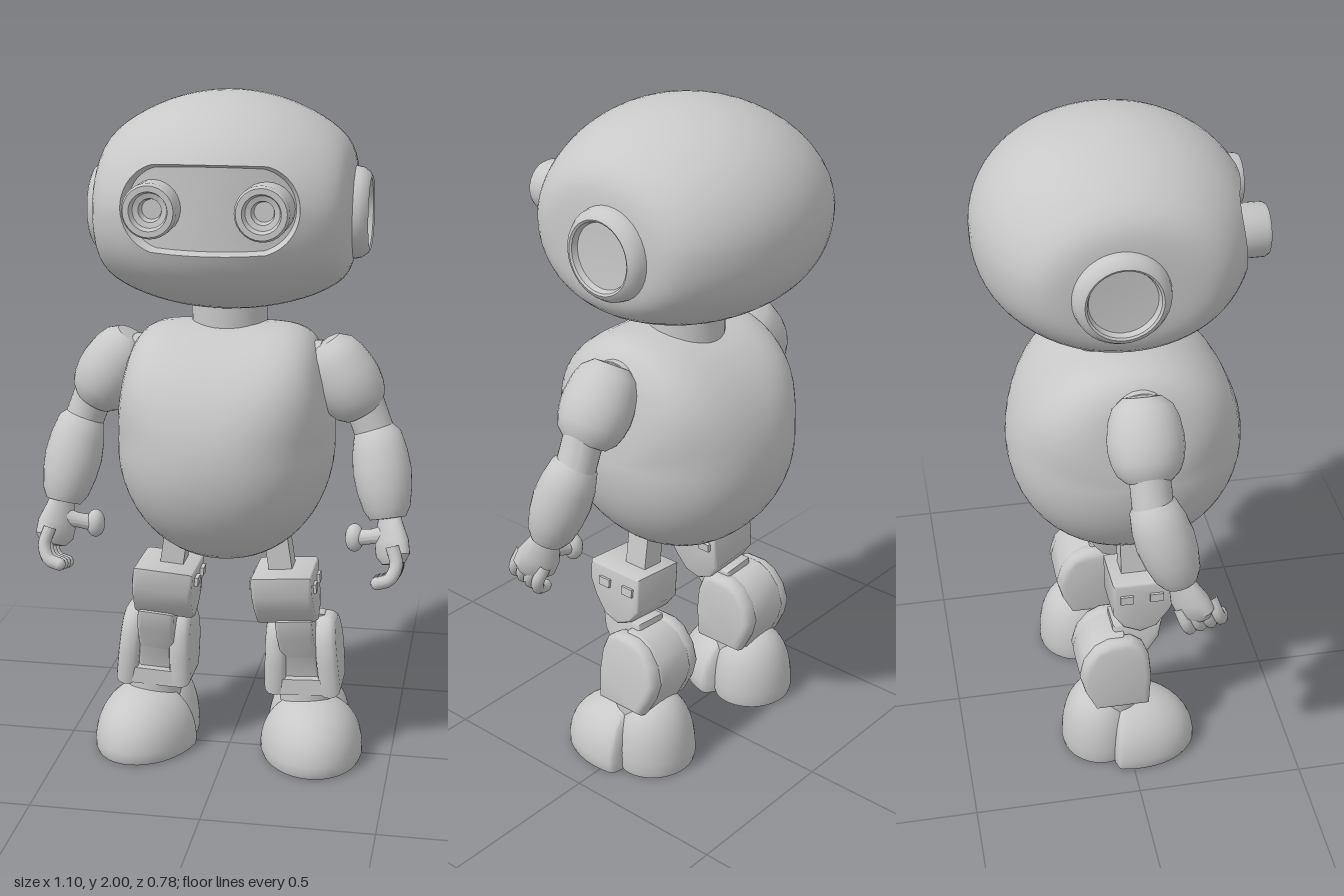
import * as THREE from 'three';
import { toCreasedNormals } from 'three/addons/utils/BufferGeometryUtils.js';

const V = (x, y, z) => new THREE.Vector3(x, y, z);
const clamp = THREE.MathUtils.clamp;

export function createModel() {
  const root = new THREE.Group();
  const grey = new THREE.MeshStandardMaterial({ color: 0xc8c8c8 });
  grey.name = 'body grey';

  function add(name, geo, crease = 0.6) {
    const mesh = new THREE.Mesh(crease ? toCreasedNormals(geo, crease) : geo, grey);
    mesh.name = name;
    root.add(mesh);
    return mesh;
  }

  // Skin a list of equal-length rings of points
  function loft(rings) {
    const n = rings[0].length, pos = [], idx = [];
    rings.forEach(r => r.forEach(p => pos.push(p.x, p.y, p.z)));
    for (let i = 0; i < rings.length - 1; i++) for (let j = 0; j < n; j++) {
      const a = i * n + j, b = i * n + (j + 1) % n, c = a + n, d = b + n;
      idx.push(a, c, d, a, d, b);
    }
    const g = new THREE.BufferGeometry();
    g.setAttribute('position', new THREE.Float32BufferAttribute(pos, 3));
    g.setIndex(idx);
    return g;
  }

  // Turned part along a to b; profile entries are [radius, fraction of length]
  function turned(name, a, b, profile, sx = 1, sz = 1, seg = 28) {
    const dir = b.clone().sub(a), len = dir.length();
    const g = new THREE.LatheGeometry(profile.map(([r, t]) => new THREE.Vector2(r, t * len)), seg);
    g.scale(sx, 1, sz);
    g.applyQuaternion(new THREE.Quaternion().setFromUnitVectors(V(0, 1, 0), dir.normalize()));
    g.translate(a.x, a.y, a.z);
    return add(name, g);
  }

  // Side profile of [z, y] points extruded along x, tilted about its own middle
  function slab(name, pts, cx, width, tilt, yMid, bevel = 0.012) {
    const shape = new THREE.Shape(pts.map(([z, y]) => new THREE.Vector2(-z, y)));
    const g = new THREE.ExtrudeGeometry(shape, {
      depth: width - 2 * bevel, bevelThickness: bevel, bevelSize: bevel * 0.7, bevelOffset: -bevel * 0.7, bevelSegments: 3
    });
    g.translate(0, -yMid, -width / 2 + bevel).rotateY(Math.PI / 2).rotateZ(tilt).translate(cx, yMid, 0);
    return add(name, g, 0.7);
  }

  const box = (name, w, h, d, x, y, z, tilt = 0) =>
    add(name, new THREE.BoxGeometry(w, h, d).rotateZ(tilt).translate(x, y, z), 0);

  const angles = n => Array.from({ length: n }, (_, j) => j / n * Math.PI * 2);

  // Head: ball with flattened sides and a full jaw; front rings narrow to a sunken visor slot
  const headY = 1.695, ry = 0.307;
  const halfWidth = y => 0.45 - 0.06 * Math.max(0, y / ry);
  const bulk = y => (y > 0 ? 2 : 2.4);
  const flatten = x => x / Math.pow(1 + Math.pow(Math.abs(x) / 0.362, 14), 1 / 14);
  const slot = a => [0.125 * clamp(Math.cos(a) * 4, -1, 1) + 0.12 * Math.cos(a), 0.015 + 0.12 * Math.sin(a)];
  const outline = (a, k) => {
    const v = Math.sin(a) * k, y = Math.sign(v) * ry * Math.pow(Math.abs(v), 2 / bulk(v));
    return [halfWidth(y) * Math.cos(a) * k, y];
  };
  const depth = (x, y) =>
    Math.sqrt(Math.max(0, 1 - (x / halfWidth(y)) ** 2 - Math.pow(Math.abs(y) / ry, bulk(y))));
  const headRings = [];
  for (const k of [0, 0.35, 0.7, 0.94]) {
    headRings.push(angles(72).map(a => {
      const [x, y] = slot(a);
      return V(x * k, headY + 0.015 + (y - 0.015) * k, 0.33 * depth(x * k, 0));
    }));
  }
  for (let i = 0; i <= 14; i++) {
    const t = Math.sin(i / 14 * Math.PI / 2);
    headRings.push(angles(72).map(a => {
      const [sx, sy] = slot(a), [ex, ey] = outline(a, 1);
      const x = sx + (ex - sx) * t, y = sy + (ey - sy) * t;
      return V(flatten(x), headY + y, 0.385 * depth(x, y));
    }));
  }
  for (let i = 1; i <= 16; i++) {
    const u = i / 16 * Math.PI / 2;
    headRings.push(angles(72).map(a => {
      const [x, y] = outline(a, Math.cos(u));
      return V(flatten(x), headY + y, -0.388 * Math.sin(u));
    }));
  }
  add('head', loft(headRings));

  turned('neck', V(0, 1.3, 0), V(0, 1.43, 0), [[0.11, 0], [0.11, 1]]);

  // Torso: round from the side, square at the shoulders, tapering to the bottom
  const torsoRings = [];
  for (let i = 0; i <= 32; i++) {
    const u = Math.cos(i / 32 * Math.PI);
    torsoRings.push(angles(48).map(a => {
      const c = Math.cos(a);
      const p = 2.25 + (c > 0 ? 3.5 : -0.2) * c * c;
      const r = 0.354 * Math.pow(Math.max(0, 1 - Math.pow(Math.abs(u), p)), 1 / p);
      const y = r * c;
      return V(0.315 * u * (1 - 0.35 * Math.max(0, y)), 0.995 + y, 0.035 + r * Math.sin(a) * 0.98);
    }));
  }
  add('torso', loft(torsoRings), 0.8);

  // Dome with flat sole at local x, z of a foot turned about its ankle
  function dome(name, footX, turn, z, w, h, front, back, bulge) {
    const pts = [new THREE.Vector2(0, 0), new THREE.Vector2(0.97, 0)];
    for (let i = 0; i <= 14; i++) {
      const a = i / 14 * Math.PI / 2;
      pts.push(new THREE.Vector2(Math.pow(Math.cos(a), 2 / bulge), 0.07 + 0.93 * Math.pow(Math.sin(a), 2 / bulge)));
    }
    pts[pts.length - 1].x = 0;
    const g = new THREE.LatheGeometry(pts, 40), p = g.attributes.position;
    for (let i = 0; i < p.count; i++) {
      const q = p.getZ(i);
      p.setXYZ(i, p.getX(i) * w, p.getY(i) * h, z + q * (q > 0 ? front : back));
    }
    add(name, g.rotateY(turn).translate(footX, 0, 0));
  }

  const thigh = [[0.155, 0.61], [-0.04, 0.61], [-0.04, 0.5], [-0.01, 0.457], [0.04, 0.435], [0.09, 0.45], [0.13, 0.5], [0.155, 0.55]];
  const shin = [[0.06, 0.2], [0.068, 0.3], [0.062, 0.37], [0.045, 0.415], [0.01, 0.44], [-0.06, 0.44], [-0.1, 0.42],
    [-0.135, 0.375], [-0.15, 0.315], [-0.135, 0.26], [-0.105, 0.2]];
  const shinBack = [[-0.02, 0.2], [-0.02, 0.41], [-0.01, 0.44], ...shin.slice(5)];
  const strut = [[0.11, 0.46], [0.1, 0.4], [0.045, 0.32], [0.03, 0.25], [-0.04, 0.25], [-0.04, 0.46]];

  for (const s of [1, -1]) {
    const side = s > 0 ? 'left' : 'right';

    // Eyes and ear discs
    turned(side + 'Eye', V(s * 0.152, 1.71, 0.25), V(s * 0.152, 1.71, 0.395),
      [[0.075, 0], [0.075, 0.92], [0.069, 1], [0.053, 1], [0.047, 0.85], [0.032, 0.82], [0.027, 0.65], [0, 0.65]]);
    turned(side + 'Ear', V(s * 0.32, 1.66, -0.035), V(s * 0.402, 1.66, -0.035),
      [[0.13, 0], [0.132, 0.45], [0.128, 0.7], [0.116, 0.92], [0.104, 1], [0.098, 0.95], [0.092, 0.75], [0, 0.7]], 1, 1, 36);

    // Arm
    turned(side + 'ShoulderSocket', V(s * 0.2, 1.21, 0.035), V(s * 0.288, 1.21, 0.035),
      [[0.09, 0], [0.09, 0.85], [0.08, 1], [0, 1]]);
    turned(side + 'UpperArm', V(s * 0.285, 1.285, 0.035), V(s * 0.4, 1.095, 0.035),
      [[0, -0.07], [0.05, -0.05], [0.078, 0.06], [0.092, 0.22], [0.1, 0.45], [0.1, 0.6], [0.094, 0.76],
        [0.082, 0.9], [0.06, 1], [0, 1.04]], 1, 1.08);
    turned(side + 'Elbow', V(s * 0.4, 1.12, 0.035), V(s * 0.445, 1.0, 0.04), [[0.058, 0], [0.058, 1]]);
    turned(side + 'Forearm', V(s * 0.435, 1.06, 0.03), V(s * 0.482, 0.8, 0.11),
      [[0, 0], [0.045, 0.01], [0.068, 0.1], [0.08, 0.3], [0.085, 0.5], [0.08, 0.7], [0.068, 0.9], [0.052, 1], [0, 1.01]]);
    turned(side + 'Palm', V(s * 0.482, 0.83, 0.1), V(s * 0.505, 0.68, 0.16),
      [[0, 0], [0.035, 0.02], [0.045, 0.3], [0.06, 0.6], [0.06, 0.85], [0.04, 1], [0, 1.03]], 0.65, 1.05);

    // Four curled fingers and a thumb with a round tip
    for (let i = 0; i < 4; i++) {
      const z = 0.105 + i * 0.03, up = i * 0.008;
      const end = V(s * 0.465, 0.622 + up, z + 0.042);
      const path = new THREE.CatmullRomCurve3([V(s * 0.502, 0.72 + up, z), V(s * 0.516, 0.67 + up, z + 0.018),
        V(s * 0.498, 0.632 + up, z + 0.035), end]);
      add(side + 'Finger' + (i + 1), new THREE.TubeGeometry(path, 10, 0.019, 10), 0);
      add(side + 'Fingertip' + (i + 1), new THREE.SphereGeometry(0.019, 10, 8).translate(end.x, end.y, end.z), 0);
    }
    turned(side + 'Thumb', V(s * 0.49, 0.755, 0.125), V(s * 0.39, 0.735, 0.11), [[0.032, 0], [0.022, 0.5], [0.024, 1]]);
    add(side + 'ThumbTip', new THREE.SphereGeometry(1, 16, 12).scale(0.028, 0.042, 0.033)
      .translate(s * 0.386, 0.735, 0.108), 0);

    // Leg
    box(side + 'HipPost', 0.07, 0.2, 0.075, s * 0.155, 0.67, 0.033, s * 0.15);
    slab(side + 'Thigh', thigh, s * 0.182, 0.18, s * 0.08, 0.52);
    for (const z of [0.09, 0]) for (const e of [-1, 1])
      box(side + 'ThighBolt', 0.02, 0.026, 0.04, s * 0.177 + e * 0.09, 0.567, z, s * 0.08);
    slab(side + 'KneeStrut', strut, s * 0.217, 0.11, s * 0.08, 0.35);
    for (const e of [-1, 1])
      slab(side + 'ShinWall', shin, s * 0.226 + e * 0.078, 0.064, s * 0.05 + e * 0.06, 0.32, 0.028);
    slab(side + 'ShinBack', shinBack, s * 0.226, 0.14, s * 0.05, 0.32);
    box(side + 'ShinLip', 0.15, 0.05, 0.07, s * 0.233, 0.228, 0.022, s * 0.05);
    turned(side + 'Ankle', V(s * 0.24, 0.12, -0.03), V(s * 0.24, 0.22, -0.03), [[0.085, 0], [0.085, 1]]);
    dome(side + 'Toe', s * 0.255, s * 0.2, -0.005, 0.157, 0.188, 0.218, 0.04, 2.2);
    dome(side + 'Heel', s * 0.255, s * 0.2, -0.075, 0.13, 0.225, 0.115, 0.125, 2.4);
  }
  return root;
}
